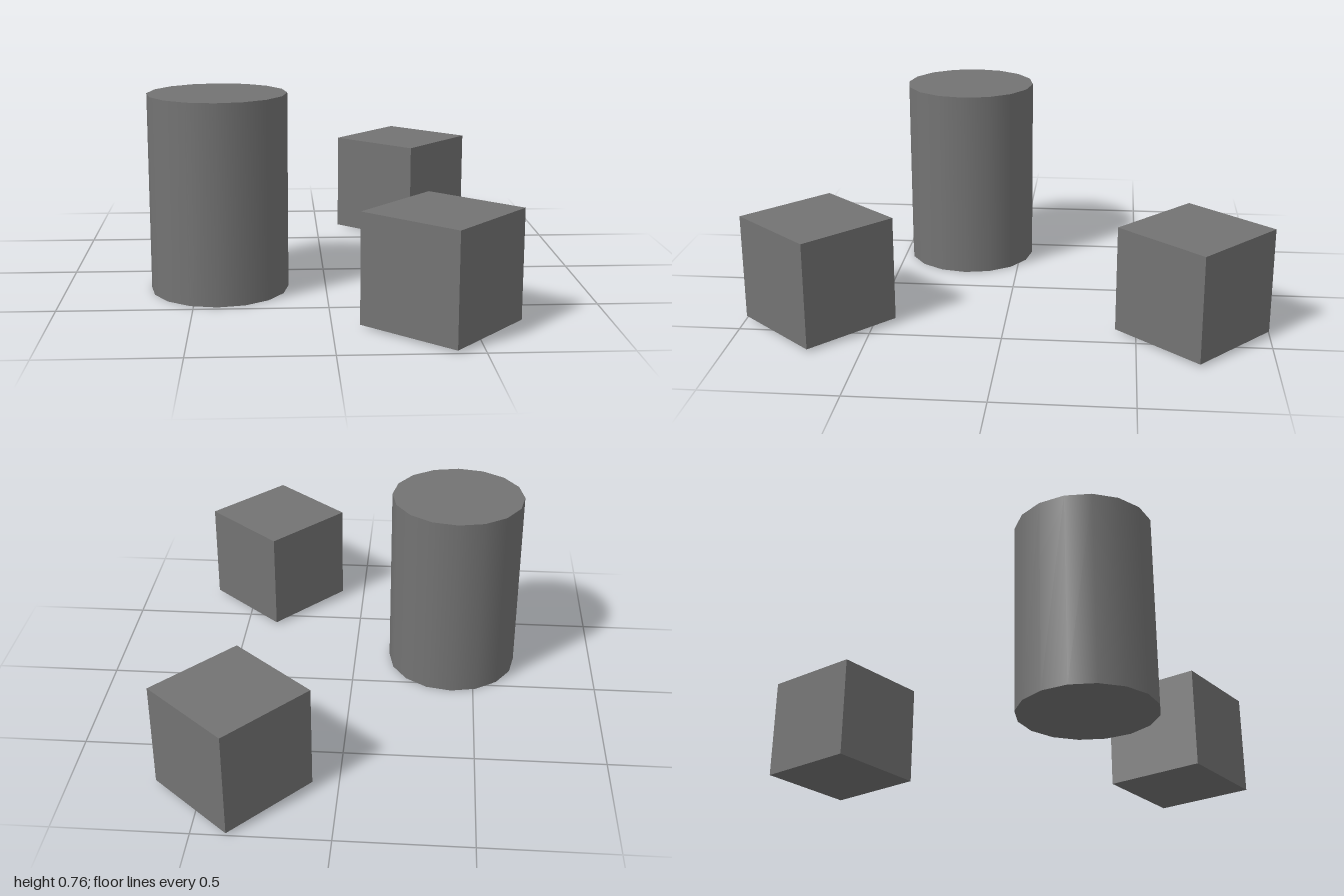
import * as THREE from 'three';

export function createModel() {
  const group = new THREE.Group();
  const material = new THREE.MeshStandardMaterial({ color: 0x737373 });

  // Upright sixteen-sided cylinder with smooth sides
  const height = 0.76;
  const cylinder = new THREE.Mesh(new THREE.CylinderGeometry(0.265, 0.265, height, 16), material);
  cylinder.name = 'cylinder';
  cylinder.position.set(-0.41, height / 2, 0.216);
  group.add(cylinder);

  // Two equal cubes, turned the same way and raised slightly
  const size = 0.409;
  const cubeGeometry = new THREE.BoxGeometry(size, size, size);
  for (const [name, z] of [['frontCube', 0.711], ['backCube', -0.711]]) {
    const cube = new THREE.Mesh(cubeGeometry, material);
    cube.name = name;
    cube.position.set(0.387, 0.01 + size / 2, z);
    cube.rotation.y = -0.733;
    group.add(cube);
  }

  return group;
}
